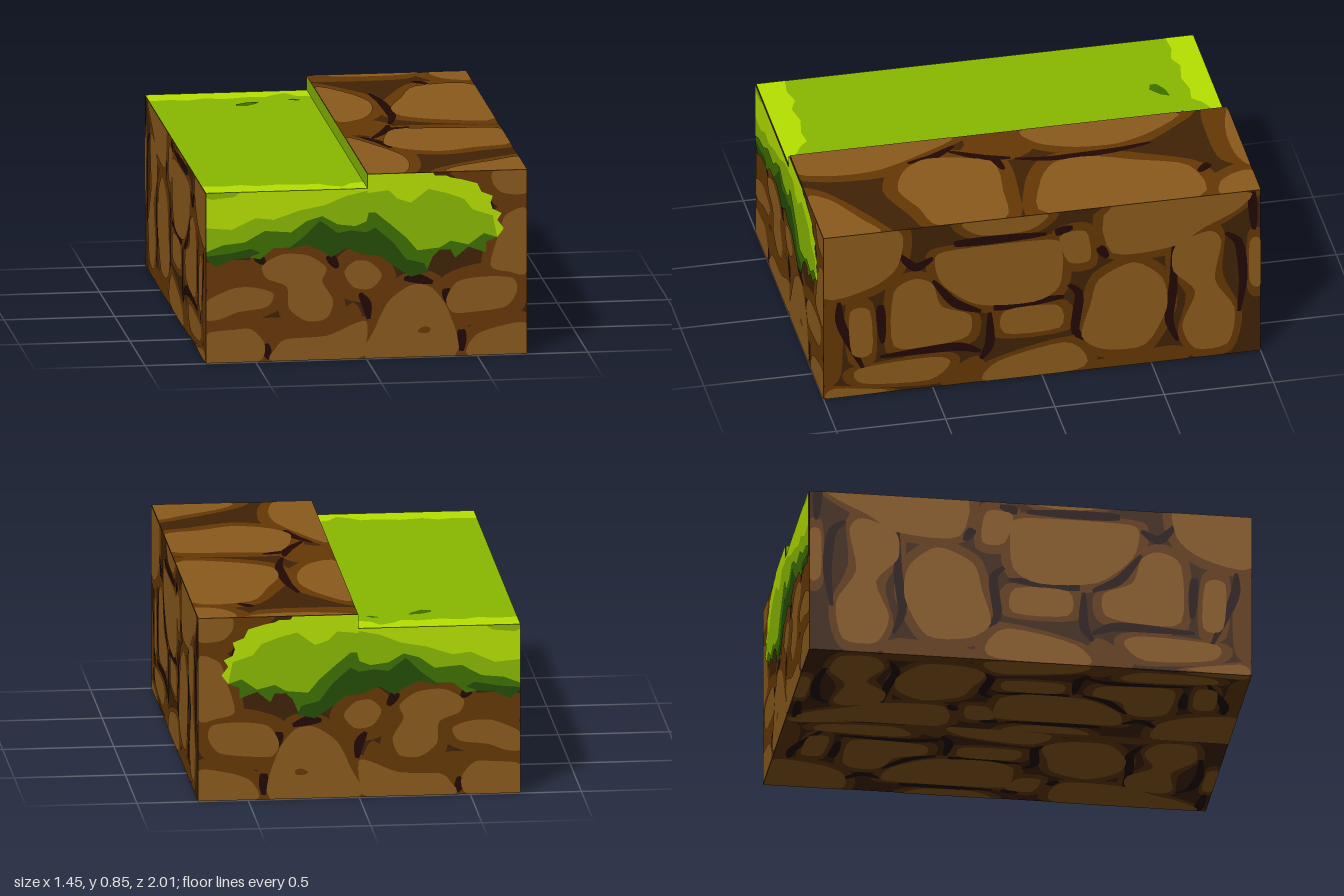
import * as THREE from 'three';

const W = 0.725, D = 1, LOW = 0.78, HIGH = 0.845, STEP = 0.005;

// Wall patterns in hundredths of a unit, as u, v pairs: stone outlines, extra rim patches and crack lines
const frontPattern = {
  grow: 0.065,
  stones: [
    [-73, 13, -60, 15, -52, 15, -46, 8, -49, 0, -73, 0],
    [-73, 28, -60, 34, -50, 34, -42, 31, -45, 25, -58, 23, -66, 20, -73, 20],
    [-47, 44, -38, 49, -26, 48, -18, 42, -20, 36, -15, 27, -18, 19, -27, 18, -35, 24, -36, 34, -45, 38],
    [-10, 40, -5, 45, 2, 44, 7, 38, 2, 32, -6, 33],
    [-42, 0, -41, 6, -36, 10, -18, 11, -6, 16, 0, 17, 0, 8, -4, 0],
    [0, 0, 4, 14, 10, 26, 20, 33, 29, 32, 37, 21, 40, 0],
    [36, 26, 41, 34, 53, 36, 66, 35, 68, 29, 63, 22, 49, 20, 39, 20],
    [46, 0, 49, 9, 60, 13, 73, 14, 73, 0],
    [56, 41, 60, 56, 63, 64, 73, 66, 73, 38, 64, 38],
    [58, 85, 73, 85, 73, 74, 62, 74, 57, 79],
  ],
  rims: [[-62, 18, -40, 20, -20, 16, -6, 26, -4, 14, -45, 8], [-73, 46, -50, 46, -44, 36, -73, 34], [38, 85, 60, 85, 57, 77, 45, 79]],
  cracks: [[-3, 30, 0, 25, 1, 18], [17, 36, 23, 36, 30, 34], [36, 31, 37, 24], [-46, 8, -44, 1], [-17, 48, -13, 42],
    [43, 12, 43, 2], [53, 72, 57, 66], [-50, 49, -46, 45]],
};
const upperStones = [
  [-100, 85, -66, 85, -66, 66, -78, 56, -100, 53],
  [-49, 68, -40, 71, 2, 71, 9, 66, 8, 46, -4, 39, -30, 41, -46, 54],
  [32, 85, 93, 85, 90, 76, 74, 68, 60, 60, 32, 60],
  [61, 60, 76, 66, 82, 60, 79, 40, 88, 24, 85, 6, 70, 5, 64, 18, 70, 35, 60, 47],
  [-36, 85, 2, 85, -6, 77, -28, 77],
  [8, 72, 20, 73, 22, 58, 12, 58],
  [95, 58, 100, 58, 100, 35, 95, 37],
];
const lowerStones = [
  [-68, 24, -68, 52, -58, 58, -50, 54, -46, 42, -33, 36, -34, 25, -50, 22],
  [-88, 44, -79, 44, -78, 22, -87, 22],
  [-17, 36, 7, 36, 8, 24, -17, 24],
  [26, 47, 42, 54, 55, 44, 57, 28, 47, 10, 28, 10, 18, 18, 22, 34],
  [-84, 14, -50, 16, -42, 12, -52, 4, -82, 6],
  [-26, 0, -20, 10, 10, 16, 20, 8, 16, 1],
  [-98, 0, -95, 5, -70, 1],
];
const sidePattern = {
  grow: 0.045,
  stones: [...upperStones, ...lowerStones],
  rims: [[-100, 48, -92, 46, -92, 12, -100, 8], [-45, 6, -30, 14, -24, 2, -45, 0], [22, 4, 60, 8, 66, 0, 22, 0]],
  cracks: [[-66, 72, -58, 64, -50, 68], [-50, 56, -40, 43, -28, 37], [-24, 36, -24, 20, -28, 12], [6, 74, 14, 76],
    [12, 46, 17, 40, 15, 22, 20, 16], [26, 64, 30, 58], [60, 60, 60, 40, 58, 22, 62, 10], [-93, 50, -92, 38, -82, 14],
    [-74, 46, -73, 26], [-74, 19, -40, 20, -28, 16], [-22, 38, 10, 40], [-40, 74, 2, 74], [84, 64, 90, 58, 92, 40, 90, 22],
    [96, 84, 97, 64]],
};
const topPattern = {
  grow: 0.07,
  stones: [
    [0, -76, 14, -63, 21, -45, 20, -26, 13, -10, 0, -8],
    [73, -72, 46, -73, 36, -50, 29, -31, 31, -14, 48, -4, 73, -3],
    [24, 13, 50, 13, 73, 17, 73, 47, 56, 53, 40, 59, 24, 53, 16, 40],
    [0, 27, 13, 45, 21, 64, 22, 82, 17, 100, 0, 100],
    [37, 100, 42, 90, 60, 80, 73, 74, 73, 100],
    [3, -100, 50, -100, 40, -95, 20, -95],
    [56, -100, 73, -100, 73, -82, 62, -84, 56, -92],
  ],
  rims: [[0, -5, 18, -7, 25, 8, 17, 26, 8, 22, 0, 20], [0, -100, 48, -100, 44, -88, 24, -86, 0, -88]],
  cracks: [[23, -60, 26, -45, 27, -30, 27, -12, 24, 2], [20, 12, 32, 9], [23, 4, 20, 16, 12, 30], [8, 27, 15, 38, 18, 50],
    [46, -82, 52, -76]],
};

// Hanging grass outlines
const grassTip = [59, 54, 62, 58, 59, 62, 61, 65, 57, 67, 56, 70, 57, 73, 52, 75, 50, 79, 43, 81, 38, 82, 36, 83, 31, 83, 30, 84.5, 0.5, 84.5];
const grassRim = [-72.5, 48, -68, 44, -61, 47, -53, 48, -48, 47, -42, 52, -34, 52, -27, 53, -20, 50, -16, 47, -9, 51, -2, 48,
  6, 47, 14, 41, 20, 37, 27, 39, 30, 46, 33, 49, 38, 49, 40, 45, 46, 50, 54, 47, 54, 52, ...grassTip, 0.5, 78, -72.5, 78];
const grassShade = [-36, 51, -28, 57, -21, 64, -13, 58, -7, 59, 0, 58, 4, 60, 12, 53, 18, 45, 26, 43, 28, 39, 20, 37, 14, 41,
  6, 47, -2, 48, -9, 51, -16, 47, -20, 50, -27, 53];
const grassShadeSmall = [-72.5, 48, -68, 44, -61, 47, -53, 48, -48, 50, -52, 52, -62, 50, -72.5, 49];
const grassMid = [-72.5, 51, -65, 54, -55, 55, -46, 60, -34, 59, -27, 64, -20, 66, -13, 62, -5, 61, 0, 63, 1, 67, 4, 67, 10, 62,
  18, 55, 23, 49, 33, 50, 38, 53, 46, 51, 53, 56, ...grassTip, 0.5, 78, -72.5, 78];
const grassBrightLeft = [-72.5, 62, -61, 61, -50, 66, -42, 65, -30, 69, -19, 71, -9, 75, 0.5, 77, 0.5, 78, -57, 78, -60, 76, -70, 75, -72.5, 76];
const grassBrightRight = [0.5, 76, 10, 77, 14, 73, 20, 71, 28, 77, 36, 75, 44, 72, 48, 67, 57, 64, ...grassTip];
const endStrip = [-72.5, 100, -72.5, 87, -63, 88, -55, 86, -48, 89, -38, 87, -28, 89, -20, 88, -16, 92, -10, 95, -6, 89, 0.5, 87, 0.5, 100];

const material = (name, color) => {
  const m = new THREE.MeshStandardMaterial({ color });
  m.name = name;
  return m;
};
const toPoints = (list) => {
  const pts = [];
  for (let i = 0; i < list.length; i += 2) pts.push(new THREE.Vector2(list[i] / 100, list[i + 1] / 100));
  return pts;
};
const smooth = (pts, closed) => new THREE.CatmullRomCurve3(pts.map((p) => new THREE.Vector3(p.x, p.y, 0)), closed, 'catmullrom', 0.4);

// Rounded outline, grown outwards from its centre
function stoneOutline(list, grow) {
  const pts = toPoints(list);
  const centre = pts.reduce((s, p) => s.add(p), new THREE.Vector2()).divideScalar(pts.length);
  const grown = pts.map((p) => p.clone().sub(centre).setLength(grow).add(p));
  return smooth(grown, true).getPoints(pts.length * 4).slice(0, -1);
}
// Tapered sliver along a line
function crackOutline(list) {
  const curve = smooth(toPoints(list), false), near = [], far = [];
  for (let i = 0; i <= 10; i++) {
    const p = curve.getPoint(i / 10), t = curve.getTangent(i / 10);
    const w = 0.008 + 0.014 * Math.sin(Math.PI * i / 10);
    near.push(new THREE.Vector2(p.x - t.y * w, p.y + t.x * w));
    far.unshift(new THREE.Vector2(p.x + t.y * w, p.y - t.x * w));
  }
  return [...near, ...far];
}

export function createModel() {
  const model = new THREE.Group();
  const mats = {
    stone: material('light stone', 0x8a5a1c),
    rim: material('stone rim', 0x663804),
    soil: material('dark soil', 0x402306),
    crevice: material('deep crevice', 0x220704),
    bright: material('bright grass', 0xb6e000),
    grass: material('grass', 0x8ab800),
    dark: material('dark grass', 0x3e7000),
    shade: material('grass shadow green', 0x244c04),
  };

  // A face is a group holding thin painted layers in its own plane
  function face(name, position, rotation) {
    const g = new THREE.Group();
    g.name = name;
    g.position.set(...position);
    g.rotation.set(...rotation);
    model.add(g);
    return g;
  }
  function paint(target, name, outlines, mat, layer, map) {
    const shapes = outlines.map((o) => new THREE.Shape(o.map((p) => new THREE.Vector2(...map(p.x, p.y)))));
    const mesh = new THREE.Mesh(new THREE.ShapeGeometry(shapes), mat);
    mesh.name = name;
    mesh.position.z = layer * 0.0008;
    target.add(mesh);
  }
  // Rims, cracks and stones, all kept within the face limits
  function paintStones(target, { stones, rims, cracks, grow }, [u0, u1, v0, v1], map) {
    const { clamp } = THREE.MathUtils;
    const inside = (u, v) => map(clamp(u, u0, u1), clamp(v, v0, v1));
    const rimOutlines = [...stones.map((s) => stoneOutline(s, grow)), ...rims.map((r) => stoneOutline(r, 0))];
    paint(target, 'stoneRims', rimOutlines, mats.rim, 1, inside);
    paint(target, 'cracks', cracks.map(crackOutline), mats.crevice, 2, inside);
    paint(target, 'stones', stones.map((s) => stoneOutline(s, 0)), mats.stone, 3, inside);
  }

  // Low grassy half and high stony half
  function block(name, x0, x1, height, grassSide) {
    const sides = Array(6).fill(mats.soil);
    sides[grassSide] = mats.grass;
    const mesh = new THREE.Mesh(new THREE.BoxGeometry(x1 - x0, height, 2 * D), sides);
    mesh.name = name;
    mesh.position.set((x0 + x1) / 2, height / 2, 0);
    model.add(mesh);
  }
  block('lowerBlock', -W, STEP, LOW, 2);
  block('raisedBlock', STEP, W, HIGH, 1);

  // Front and back walls: stones with hanging grass
  const same = (u, v) => [u, v], mirrored = (u, v) => [-u, v], flipped = (u, v) => [u, -v];
  for (const s of [1, -1]) {
    const map = s > 0 ? same : mirrored;
    const f = face(s > 0 ? 'frontWall' : 'backWall', [0, 0, s * D], [0, s > 0 ? 0 : Math.PI, 0]);
    paintStones(f, frontPattern, [-W, W, 0, HIGH], map);
    paint(f, 'stoneSpot', [stoneOutline([23, 12, 26, 14, 29, 13, 28, 11, 25, 11], 0)], mats.rim, 4, map);
    [['grassFringe', [grassRim], mats.dark],
      ['grassShade', [grassShade, grassShadeSmall], mats.shade],
      ['grassBody', [grassMid], mats.grass],
      ['grassHighlights', [grassBrightLeft, grassBrightRight], mats.bright],
    ].forEach(([name, lists, mat], i) => paint(f, name, lists.map(toPoints), mat, i + 5, map));
  }

  // Side walls and the stony top of the raised half
  paintStones(face('leftWall', [W, 0, 0], [0, Math.PI / 2, 0]), sidePattern, [-D, D, 0, HIGH], same);
  paintStones(face('rightWall', [-W, 0, 0], [0, -Math.PI / 2, 0]), sidePattern, [-D, D, 0, LOW], mirrored);
  paintStones(face('stonyTop', [0, HIGH, 0], [-Math.PI / 2, 0, 0]), topPattern, [STEP, W, -D, D], flipped);

  // Grassy top: bright ends and two dark tufts
  const lawn = face('grassyTop', [0, LOW, 0], [-Math.PI / 2, 0, 0]);
  paint(lawn, 'brightFrontEnd', [toPoints(endStrip)], mats.bright, 1, flipped);
  paint(lawn, 'brightBackEnd', [toPoints(endStrip)], mats.bright, 1, same);
  const tufts = [[-35, -75, -30, -78, -24, -79, -26, -75, -31, -71, -35, -72], [-11, -82, -8, -83, -5, -80, -7, -79]];
  paint(lawn, 'darkTufts', tufts.map(toPoints), mats.dark, 2, flipped);

  // Underside: two rows of stones running front to back
  const base = face('underside', [0, 0, 0], [Math.PI / 2, 0, 0]);
  const squeeze = W / HIGH;
  paintStones(base, sidePattern, [-D, D, 0, HIGH], (u, v) => [v * squeeze, u]);
  paintStones(base, sidePattern, [-D, D, 0, HIGH], (u, v) => [v * squeeze - W, -u]);

  return model;
}
